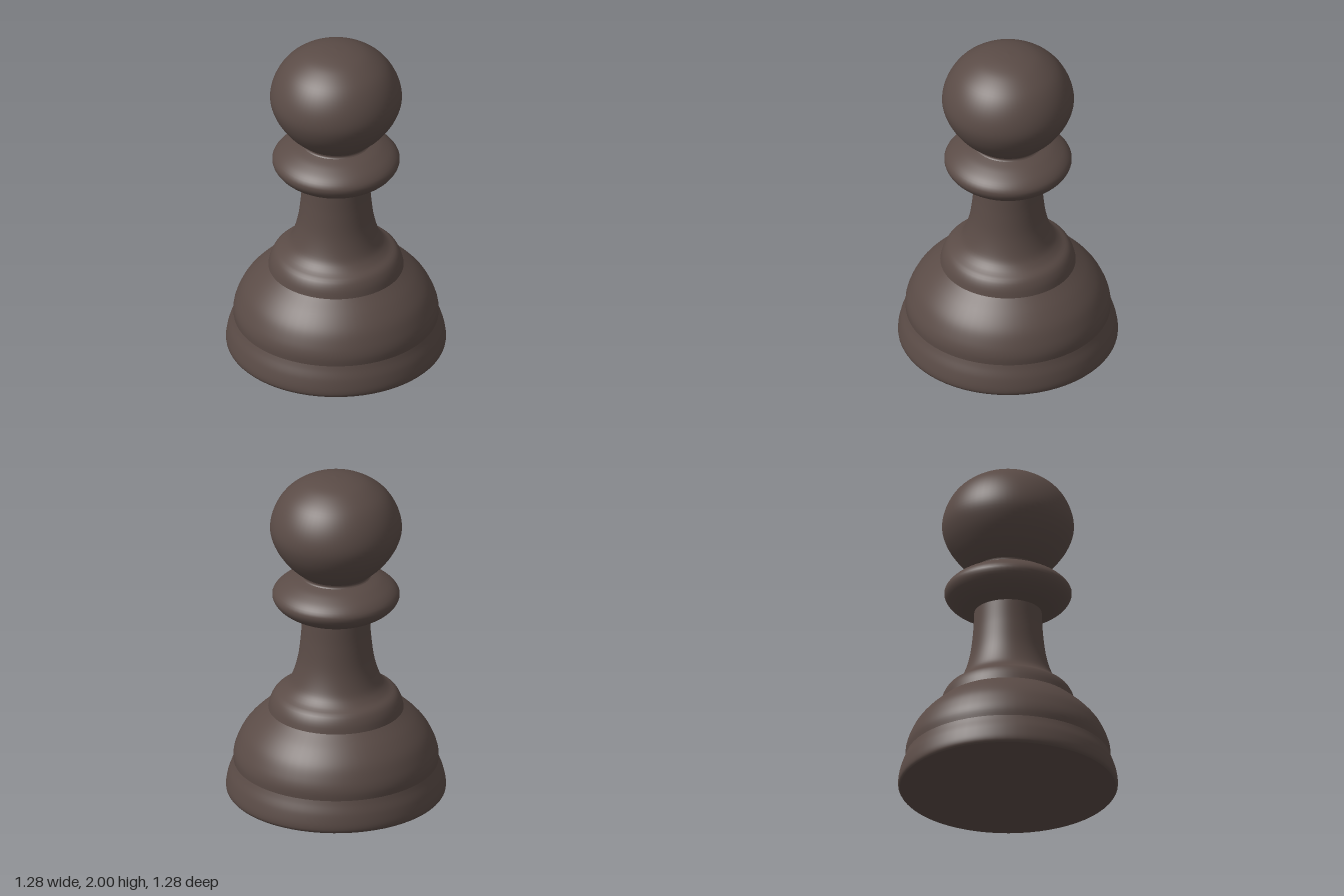
import * as THREE from 'three';

const material = new THREE.MeshStandardMaterial({ color: 0x5a4b46 });
const SIDES = 64;

// Smooth turned part from [radius, height] points, listed bottom to top
function turned(name, points, steps = 24) {
  const curve = new THREE.SplineCurve(points.map(([r, y]) => new THREE.Vector2(r, y)));
  const profile = curve.getSpacedPoints(steps);
  profile.forEach((p) => { p.x = Math.max(p.x, 0); });
  const mesh = new THREE.Mesh(new THREE.LatheGeometry(profile, SIDES), material);
  mesh.name = name;
  return mesh;
}

export function createModel() {
  const pawn = new THREE.Group();
  pawn.name = 'pawn';

  // Flat underside
  const underside = new THREE.Mesh(new THREE.CircleGeometry(0.63, SIDES), material);
  underside.rotation.x = Math.PI / 2;
  underside.name = 'underside';

  pawn.add(
    underside,
    // Flared foot with a rounded lower rim
    turned('foot', [[0.63, 0], [0.64, 0.015], [0.64, 0.05], [0.627, 0.11], [0.606, 0.165], [0.597, 0.19]]),
    // Domed body
    turned('body', [[0.597, 0.19], [0.597, 0.24], [0.58, 0.3], [0.54, 0.38], [0.476, 0.455], [0.395, 0.525]]),
    // Shoulder ring flowing into the tapered stem
    turned('stem', [[0.395, 0.525], [0.382, 0.575], [0.355, 0.62], [0.305, 0.655], [0.263, 0.71],
      [0.225, 0.83], [0.205, 0.98], [0.197, 1.12]], 40),
    // Rounded collar under the head
    turned('collar', [[0.195, 1.12], [0.28, 1.148], [0.347, 1.195], [0.372, 1.25], [0.34, 1.3],
      [0.27, 1.345], [0.205, 1.37]], 28),
    // Slim neck between collar and head
    turned('neck', [[0.205, 1.37], [0.198, 1.378], [0.2, 1.39]], 4),
    // Slightly flattened head, narrowing to the neck
    turned('head', [[0.2, 1.39], [0.235, 1.415], [0.3, 1.48], [0.36, 1.575], [0.385, 1.675], [0.361, 1.785],
      [0.298, 1.885], [0.2, 1.957], [0.1, 1.99], [0, 2]], 40),
  );
  return pawn;
}
